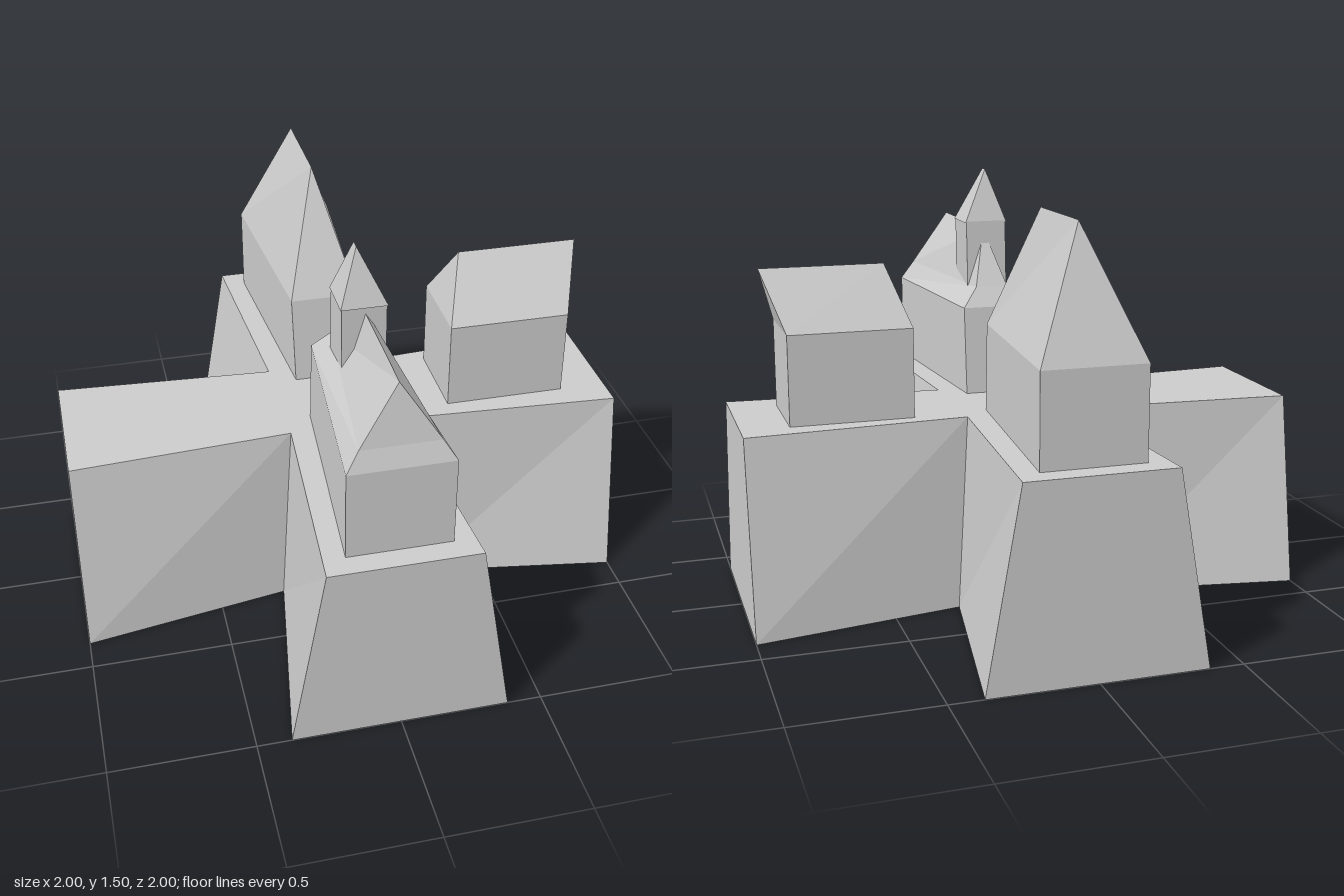
import * as THREE from 'three';

const material = new THREE.MeshStandardMaterial({
  color: 0xcccccc, flatShading: true, side: THREE.DoubleSide,
});

// Skins a stack of rings (lowest first, counter-clockwise seen from above).
function loft(name, rings) {
  const pos = [];
  const n = rings[0].length;
  for (let r = 0; r + 1 < rings.length; r++) {
    for (let i = 0; i < n; i++) {
      const j = (i + 1) % n;
      const [a, b, c, d] = [rings[r][i], rings[r][j], rings[r + 1][j], rings[r + 1][i]];
      for (const tri of [[a, b, c], [a, c, d]]) {
        const [p, q, s] = tri.map(v => new THREE.Vector3(...v));
        // Skip triangles that collapse at a ridge or point
        if (q.clone().sub(p).cross(s.clone().sub(p)).length() > 1e-7) pos.push(...tri.flat());
      }
    }
  }
  const geo = new THREE.BufferGeometry();
  geo.setAttribute('position', new THREE.Float32BufferAttribute(pos, 3));
  geo.computeVertexNormals();
  const mesh = new THREE.Mesh(geo, material);
  mesh.name = name;
  return mesh;
}

// Four-cornered ring, symmetric in x, with its own width at front and back
const taper = (y, zFront, wFront, zBack, wBack) => [
  [wFront, y, zFront], [wBack, y, zBack], [-wBack, y, zBack], [-wFront, y, zFront],
];
// Four-cornered rectangular ring
const rect = (y, x0, x1, z0, z1) => [[x1, y, z1], [x1, y, z0], [x0, y, z0], [x0, y, z1]];
// Ridge along z
const ridge = (y, x, zFront, zBack) => [[x, y, zFront], [x, y, zBack], [x, y, zBack], [x, y, zFront]];

// Twelve-cornered cross outline: arm half-width at the ends, and inner corner
function cross(y, end, inner) {
  const ring = [];
  for (let k = 0; k < 4; k++) {
    for (let [x, z] of [[1, end], [1, -end], [inner, -inner]]) {
      for (let t = 0; t < k; t++) [x, z] = [z, -x];
      ring.push([x, y, z]);
    }
  }
  return ring;
}

export function createModel() {
  const model = new THREE.Group();
  model.name = 'village';
  const ground = 0.69, eave = 1.01;

  // Cross-shaped plateau with sloping sides, open underneath
  const top = cross(ground, 0.26, 0.21);
  model.add(loft('plateau', [cross(0, 0.38, 0.26), top, top.map(() => [0, ground, 0])]));

  // Small house with a leaning gable
  const house = new THREE.Group();
  house.name = 'house';
  const houseEave = rect(eave, 0.39, 0.83, -0.165, 0.155);
  house.add(loft('houseWalls', [rect(ground, 0.39, 0.83, -0.165, 0.155), houseEave]));
  house.add(loft('houseRoof', [houseEave,
    [[0.9, 1.22, -0.02], [0.9, 1.22, -0.02], [0.46, 1.22, -0.02], [0.46, 1.22, -0.02]]]));
  model.add(house);

  // Tall hall with a steep hipped roof
  const hall = new THREE.Group();
  hall.name = 'hall';
  const hallEave = taper(eave, -0.165, 0.125, -0.92, 0.18);
  hall.add(loft('hallWalls', [taper(ground, -0.13, 0.12, -0.92, 0.18), hallEave]));
  hall.add(loft('hallRoof', [hallEave, ridge(1.44, 0, -0.38, -0.75)]));
  model.add(hall);

  // Chapel with flared eaves
  const chapel = new THREE.Group();
  chapel.name = 'chapel';
  const chapelEave = taper(eave, 0.92, 0.18, 0.15, 0.12);
  chapel.add(loft('chapelWalls', [taper(ground, 0.92, 0.18, 0.12, 0.12), chapelEave]));
  chapel.add(loft('chapelRoof', [chapelEave,
    taper(1.08, 0.895, 0.135, 0.195, 0.06), ridge(1.285, 0, 0.855, 0.31)]));

  // Bell tower and spire
  chapel.add(loft('towerWalls', [
    rect(1.07, -0.08, 0.072, 0.272, 0.44), rect(1.315, -0.08, 0.072, 0.285, 0.44)]));
  chapel.add(loft('towerSpire', [
    ridge(1.31, -0.005, 0.365, 0.365), rect(1.31, -0.085, 0.075, 0.285, 0.447),
    ridge(1.505, -0.02, 0.385, 0.35)]));
  model.add(chapel);

  return model;
}
